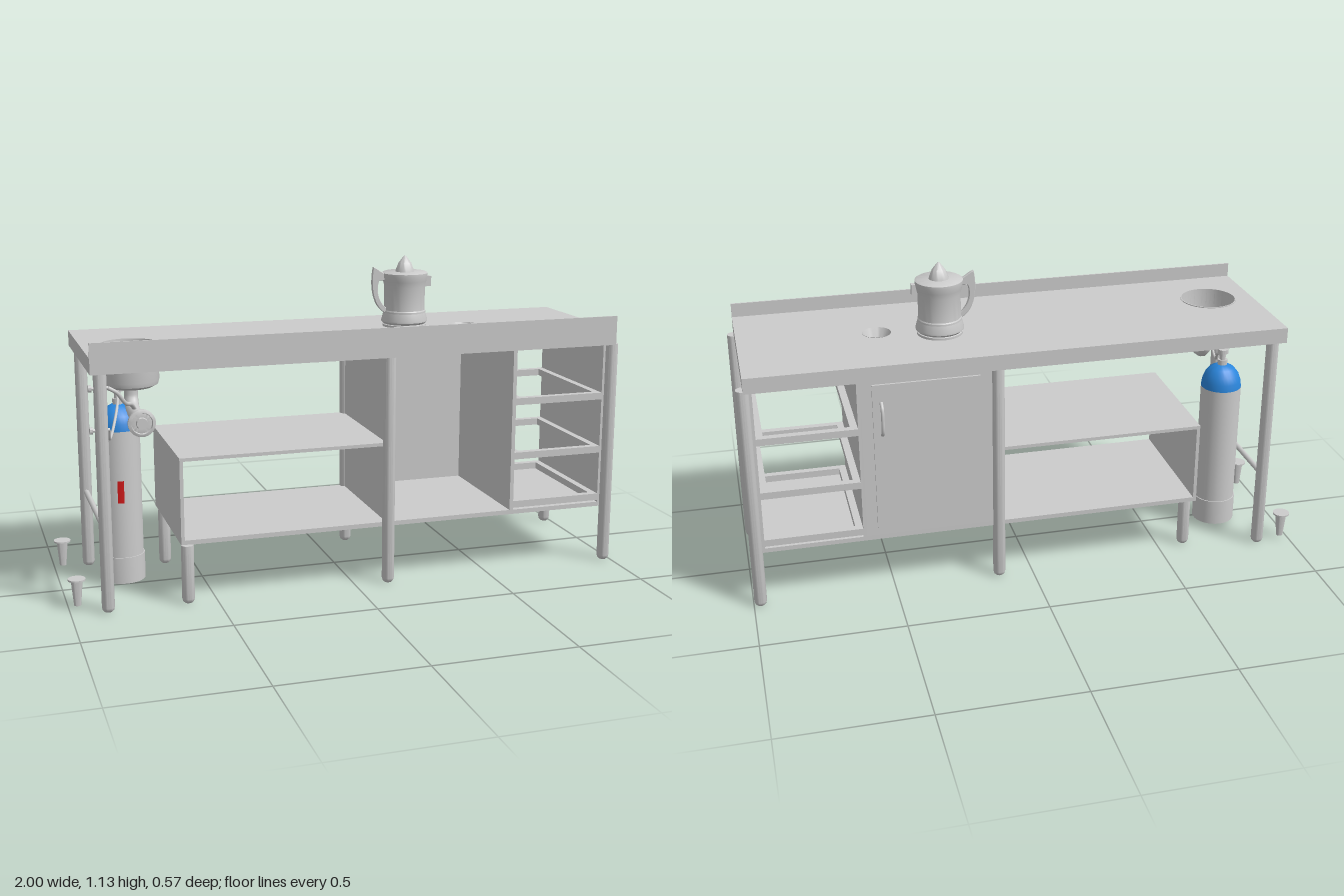
import * as THREE from 'three';
import { toCreasedNormals } from 'three/addons/utils/BufferGeometryUtils.js';

const grey = new THREE.MeshStandardMaterial({ color: 0xcccccc });
const greyDouble = new THREE.MeshStandardMaterial({ color: 0xcccccc, side: THREE.DoubleSide });
const blue = new THREE.MeshStandardMaterial({ color: 0x2a86dc });
const red = new THREE.MeshStandardMaterial({ color: 0xd01818, side: THREE.DoubleSide });

function add(parent, name, geometry, material = grey) {
  const mesh = new THREE.Mesh(geometry, material);
  mesh.name = name;
  parent.add(mesh);
  return mesh;
}

function group(parent, name, x = 0, y = 0, z = 0) {
  const g = new THREE.Group();
  g.name = name;
  g.position.set(x, y, z);
  parent.add(g);
  return g;
}

// box given by its limits on each axis
function box(parent, name, x0, x1, y0, y1, z0, z1) {
  const mesh = add(parent, name, new THREE.BoxGeometry(x1 - x0, y1 - y0, z1 - z0));
  mesh.position.set((x0 + x1) / 2, (y0 + y1) / 2, (z0 + z1) / 2);
  return mesh;
}

// turned part from [radius, height] pairs, listed bottom to top on the outside
function turned(parent, name, profile, material = grey, sides = 32) {
  const points = profile.map(([r, y]) => new THREE.Vector2(r, y));
  return add(parent, name, toCreasedNormals(new THREE.LatheGeometry(points, sides), 0.6), material);
}

function tube(parent, name, points, radius, material = grey) {
  const curve = new THREE.CatmullRomCurve3(points.map(p => new THREE.Vector3(...p)));
  return add(parent, name, new THREE.TubeGeometry(curve, 32, radius, 10), material);
}

function circleHole(x, y, r) {
  const path = new THREE.Path();
  path.absarc(x, y, r, 0, Math.PI * 2, true);
  return path;
}

function leg(parent, name, x, z, height) {
  const r = 0.022;
  turned(parent, name, [[0, 0], [0.013, 0.002], [0.019, 0.008], [r, 0.018], [r, height], [0, height]], grey, 20)
    .position.set(x, 0, z);
}

function buildCounter(root) {
  const g = group(root, 'counter');
  const top = new THREE.Shape([[-0.91, -0.287], [0.975, -0.287], [0.975, 0.287], [-0.91, 0.287]]
    .map(p => new THREE.Vector2(...p)));
  top.holes.push(circleHole(-0.745, -0.06, 0.098), circleHole(0.495, -0.012, 0.05));
  const slab = add(g, 'countertop', new THREE.ExtrudeGeometry(top, { depth: 0.055, bevelEnabled: false, curveSegments: 32 }));
  slab.rotation.x = -Math.PI / 2;
  slab.position.y = 0.82;
  box(g, 'splashback', -0.91, 0.975, 0.82, 0.925, 0.282, 0.288);

  // basin with rim and small recessed cup
  turned(g, 'basin', [[0, 0.73], [0.075, 0.73], [0.094, 0.74], [0.098, 0.755], [0.098, 0.878], [0.102, 0.878],
    [0.102, 0.875]], greyDouble, 40).position.set(-0.745, 0, 0.06);
  turned(g, 'recessedCup', [[0, 0.825], [0.03, 0.825], [0.05, 0.876]], greyDouble).position.set(0.495, 0, 0.012);
}

function buildLegs(root) {
  const g = group(root, 'legs');
  for (const x of [-0.875, 0.122, 0.976])
    for (const z of [0.256, -0.247]) leg(g, 'leg', x, z, 0.82);
  for (const z of [0.25, -0.187]) leg(g, 'shortLeg', -0.6, z, 0.208);
  tube(g, 'crossbar', [[-0.875, 0.285, 0.256], [-0.875, 0.285, 0], [-0.875, 0.285, -0.247]], 0.01);
}

function buildCabinet(root) {
  const g = group(root, 'cabinet');
  const b = -0.25, f = 0.25;
  box(g, 'bottomShelf', -0.62, 0.96, 0.207, 0.223, b, f);
  box(g, 'upperShelf', -0.62, 0.115, 0.5, 0.512, b, f);
  box(g, 'shelfEnd', -0.62, -0.608, 0.223, 0.5, b, f);
  box(g, 'dividerRight', 0.115, 0.138, 0.223, 0.82, b, f);
  box(g, 'dividerLeft', 0.592, 0.606, 0.223, 0.82, b, f);
  box(g, 'sidePanel', 0.946, 0.96, 0.223, 0.82, b, f);
  box(g, 'backPanel', 0.138, 0.592, 0.223, 0.82, b, b + 0.012);
  box(g, 'door', 0.185, 0.555, 0.255, 0.795, b - 0.008, b);
  tube(g, 'doorHandle', [[0.525, 0.73, -0.256], [0.525, 0.715, -0.275], [0.525, 0.67, -0.281],
    [0.525, 0.625, -0.275], [0.525, 0.61, -0.256]], 0.006);

  // open rack frames
  for (const y of [0.23, 0.412, 0.613]) {
    const frame = group(g, 'rackFrame', 0, y, 0);
    for (const z of [b, f - 0.025]) box(frame, 'rackBar', 0.606, 0.946, 0, 0.025, z, z + 0.025);
    for (const x of [0.606, 0.921]) box(frame, 'rackRail', x, x + 0.025, 0, 0.025, b + 0.025, f - 0.025);
  }
}

function buildGasCylinder(root) {
  const g = group(root, 'gasCylinder', -0.778, 0, -0.037);
  turned(g, 'cylinderBody', [[0, 0.015], [0.078, 0.015], [0.078, 0.11], [0.074, 0.11], [0.074, 0.565]]);
  turned(g, 'cylinderShoulder', [[0.074, 0.565], [0.071, 0.59], [0.062, 0.615], [0.045, 0.637], [0.022, 0.65],
    [0, 0.652]], blue);
  turned(g, 'cylinderValve', [[0.018, 0.645], [0.018, 0.67], [0.011, 0.67], [0.011, 0.695], [0.02, 0.695],
    [0.02, 0.71], [0, 0.71]], grey, 16);
  // curved label on the front of the body
  add(g, 'label', new THREE.CylinderGeometry(0.0755, 0.0755, 0.08, 6, 1, true, -0.28, 0.3), red).position.y = 0.35;
}

function buildPlumbing(root) {
  const g = group(root, 'plumbing');
  // outlet below the basin and pipe running forward to a flange
  tube(g, 'wastePipe', [[-0.745, 0.735, 0.06], [-0.745, 0.69, 0.062], [-0.745, 0.66, 0.085], [-0.745, 0.65, 0.13],
    [-0.745, 0.65, 0.27]], 0.024);
  const flange = turned(g, 'flange', [[0.024, -0.03], [0.034, -0.022], [0.046, -0.012], [0.046, 0], [0.036, 0.004],
    [0.034, -0.004], [0.02, -0.004], [0.018, 0.006], [0, 0.006]], greyDouble);
  flange.rotation.x = Math.PI / 2;
  flange.position.set(-0.745, 0.648, 0.278);
  // taps on the leg with flexible hoses
  for (const y of [0.77, 0.63]) {
    const tap = turned(g, 'tap', [[0, -0.036], [0.012, -0.036], [0.012, -0.026], [0.006, -0.026], [0.006, 0.03],
      [0, 0.03]], grey, 14);
    tap.rotation.z = -Math.PI / 2;
    tap.position.set(-0.878, y, 0.256);
  }
  tube(g, 'upperHose', [[-0.85, 0.77, 0.256], [-0.82, 0.75, 0.25], [-0.79, 0.71, 0.23], [-0.765, 0.695, 0.19],
    [-0.748, 0.67, 0.15]], 0.007);
  tube(g, 'lowerHose', [[-0.85, 0.63, 0.256], [-0.845, 0.59, 0.22], [-0.82, 0.6, 0.13], [-0.79, 0.66, 0.04],
    [-0.778, 0.68, -0.03]], 0.005);
}

function buildPitcher(root) {
  const g = group(root, 'pitcher', 0.28, 0.875, -0.035);
  turned(g, 'pitcherBody', [[0, 0], [0.08, 0], [0.08, 0.008], [0.076, 0.01], [0.084, 0.018], [0.084, 0.024],
    [0.077, 0.05], [0.077, 0.056], [0.074, 0.06], [0.074, 0.145], [0.079, 0.165], [0.083, 0.185], [0.083, 0.194],
    [0.076, 0.198], [0, 0.198]], grey, 40);
  turned(g, 'lidKnob', [[0.035, 0.196], [0.033, 0.204], [0.023, 0.23], [0.021, 0.232], [0.006, 0.252], [0, 0.256]]);

  // flat ear-shaped handle
  const ear = new THREE.Shape();
  ear.moveTo(-0.075, 0.19);
  ear.bezierCurveTo(-0.1, 0.2, -0.105, 0.21, -0.12, 0.215);
  ear.bezierCurveTo(-0.13, 0.16, -0.128, 0.08, -0.074, 0.05);
  ear.lineTo(-0.074, 0.068);
  ear.bezierCurveTo(-0.105, 0.09, -0.115, 0.14, -0.1, 0.17);
  ear.lineTo(-0.075, 0.17);
  add(g, 'handle', new THREE.ExtrudeGeometry(ear, { depth: 0.01, bevelEnabled: true, bevelSize: 0.002,
    bevelThickness: 0.002, bevelSegments: 1 })).position.z = -0.005;
  box(g, 'spoutTab', 0.07, 0.095, 0.143, 0.18, 0, 0.022);
}

// tapered plugs standing on the floor beside the bench
function buildFloorCups(root) {
  for (const z of [0.193, -0.24])
    turned(root, 'floorCup', [[0, 0.012], [0.012, 0.012], [0.02, 0.1], [0.03, 0.101], [0.03, 0.107], [0.02, 0.107],
      [0, 0.107]], grey, 24).position.set(-0.97, 0, z);
}

export function createModel() {
  const root = new THREE.Group();
  root.name = 'workbench';
  buildCounter(root);
  buildLegs(root);
  buildCabinet(root);
  buildGasCylinder(root);
  buildPlumbing(root);
  buildPitcher(root);
  buildFloorCups(root);
  return root;
}
